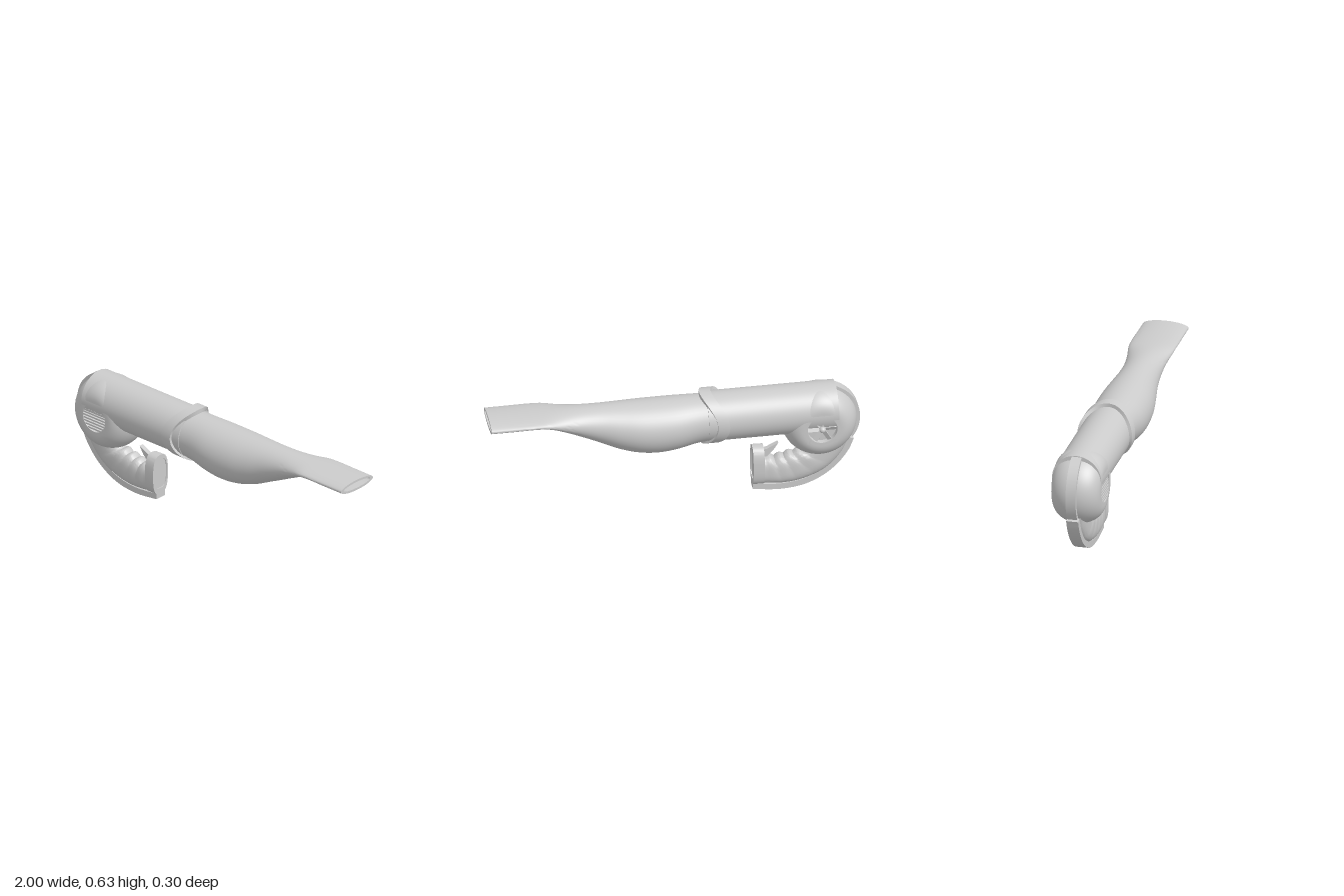
import * as THREE from 'three';
import { toCreasedNormals } from 'three/addons/utils/BufferGeometryUtils.js';

const V = (x, y, z = 0) => new THREE.Vector3(x, y, z);
const spline = (pts, n) => new THREE.CatmullRomCurve3(pts.map(p => V(...p))).getPoints(n);

// Closed section between a bottom and a top point, half width w, p < 1 gives a boxier outline
function section(bottom, top, w, p = 1, n = 48) {
  const c = bottom.clone().add(top).multiplyScalar(0.5);
  const up = top.clone().sub(c);
  const pow = t => Math.sign(t) * Math.abs(t) ** p;
  return Array.from({ length: n }, (_, j) => {
    const a = (j / n) * Math.PI * 2;
    const q = c.clone().addScaledVector(up, pow(Math.sin(a)));
    q.z = -w * pow(Math.cos(a));
    return q;
  });
}

// Skin a row of sections, optionally closing both ends
function loft(rings, capStart, capEnd, crease = 0.6) {
  const n = rings[0].length, pos = rings.flat().flatMap(p => p.toArray()), idx = [];
  for (let i = 0; i < rings.length - 1; i++)
    for (let j = 0; j < n; j++) {
      const k = (j + 1) % n, a = i * n + j, b = i * n + k;
      idx.push(a, b, b + n, a, b + n, a + n);
    }
  const cap = (i, flip) => {
    const c = rings[i].reduce((s, p) => s.add(p), V(0, 0)).divideScalar(n);
    const m = pos.length / 3;
    pos.push(...c.toArray());
    for (let j = 0; j < n; j++) {
      const a = i * n + j, b = i * n + (j + 1) % n;
      idx.push(m, ...(flip ? [b, a] : [a, b]));
    }
  };
  if (capStart) cap(0, true);
  if (capEnd) cap(rings.length - 1, false);
  const g = new THREE.BufferGeometry();
  g.setAttribute('position', new THREE.Float32BufferAttribute(pos, 3));
  g.setIndex(idx);
  return toCreasedNormals(g, crease);
}

// Flat outline extruded symmetrically about z = 0
function plate(points, width) {
  const shape = new THREE.Shape(points.map(p => new THREE.Vector2(p.x, p.y)));
  const g = new THREE.ExtrudeGeometry(shape, { depth: width, bevelEnabled: false });
  g.translate(0, 0, -width / 2);
  return toCreasedNormals(g, 0.6);
}

export function createModel() {
  const root = new THREE.Group();
  const mat = new THREE.MeshStandardMaterial({ color: 0xcccccc });
  const add = (name, geo, parent = root) => {
    const m = new THREE.Mesh(geo, mat);
    m.name = name;
    parent.add(m);
    return m;
  };

  // Straight blower tube
  const tube = new THREE.CylinderGeometry(0.135, 0.135, 0.7, 64);
  tube.rotateZ(Math.PI / 2).translate(-0.52, 0.48, 0);
  add('mainTube', tube);

  // Nozzle: bulges, then flattens into a wide open mouth
  const prof = spline([[-0.22, 0.35, 0.13], [-0.12, 0.342, 0.133], [0, 0.316, 0.147], [0.1, 0.307, 0.15],
    [0.2, 0.318, 0.145], [0.3, 0.348, 0.13], [0.4, 0.395, 0.113], [0.5, 0.443, 0.105], [0.6, 0.493, 0.11],
    [0.69, 0.538, 0.124], [0.75, 0.547, 0.126], [0.87, 0.546, 0.126], [1, 0.545, 0.125]], 60);
  const nozzle = prof.map(p => section(V(p.x, p.y), V(p.x, 0.605), p.z));
  nozzle.push(section(V(1, 0.558), V(1, 0.593), 0.102), section(V(0.55, 0.555), V(0.55, 0.594), 0.065));
  add('nozzle', loft(nozzle, false, true));

  // Collar: its ring sweeps back along both sides
  const collarRing = (x, r) => section(V(x, 0.485 - r), V(x, 0.485 + r), r, 1, 64).map(p => {
    p.x += 0.08 * ((p.y - 0.485) / r) ** 2;
    return p;
  });
  add('collar', loft([collarRing(-0.28, 0.125), collarRing(-0.28, 0.15),
    collarRing(-0.217, 0.15), collarRing(-0.217, 0.125)]));

  // Fan housing: rounded drum with a recess in each face
  const housing = new THREE.Group();
  housing.name = 'fanHousing';
  housing.position.set(-0.78, 0.41, 0);
  root.add(housing);
  const half = [[0, 0.105], [0.08, 0.105], [0.08, 0.134]];
  for (let i = 0; i <= 14; i++) {
    const a = (i / 14) * Math.PI / 2;
    half.push([0.1 + 0.103 * Math.sin(a), 0.134 * Math.cos(a)]);
  }
  const outline = [...half.map(([r, z]) => [r, -z]), ...half.slice(0, -1).reverse()];
  const drum = new THREE.LatheGeometry(outline.map(p => new THREE.Vector2(...p)), 72);
  add('drum', toCreasedNormals(drum.rotateX(Math.PI / 2), 0.6), housing);

  // Vent slats on the front
  for (let i = -4; i <= 4; i++) {
    const y = i * 0.0165;
    const w = 2 * Math.sqrt(0.08 ** 2 - y * y);
    add('ventSlat', new THREE.BoxGeometry(w, 0.009, 0.02), housing).position.set(0, y, 0.122);
  }
  for (const x of [-0.03, 0.03])
    add('ventBar', new THREE.BoxGeometry(0.006, 0.14, 0.01), housing).position.set(x, 0, 0.112);

  // Fan on the back
  const fan = new THREE.Group();
  fan.name = 'fan';
  fan.position.z = -0.122;
  housing.add(fan);
  for (let i = 0; i < 6; i++) {
    const arm = new THREE.Group();
    arm.rotation.z = (i / 6) * Math.PI * 2;
    fan.add(arm);
    const blade = add('fanBlade', new THREE.BoxGeometry(0.068, 0.026, 0.004), arm);
    blade.position.x = 0.044;
    blade.rotation.x = 0.5;
  }
  add('fanHub', new THREE.SphereGeometry(0.018, 24, 16), fan).position.z = -0.01;

  // Rib over the rear of the housing
  const arc = r => Array.from({ length: 33 }, (_, i) => {
    const a = (113 + (i / 32) * 102) * Math.PI / 180;
    return V(-0.782 + r * Math.cos(a), 0.41 + r * Math.sin(a));
  });
  add('rearRib', plate([...arc(0.218), ...arc(0.17).reverse()], 0.055));

  // Curved handle with finger grooves on its inner edge
  const N = 72;
  const outer = spline([[-0.945, 0.28], [-0.91, 0.205], [-0.85, 0.13], [-0.78, 0.08], [-0.68, 0.043],
    [-0.58, 0.032], [-0.46, 0.042]], N);
  const inner = spline([[-0.78, 0.32], [-0.73, 0.25], [-0.69, 0.215], [-0.65, 0.205], [-0.6, 0.195],
    [-0.54, 0.183], [-0.46, 0.205]], N);
  const grip = outer.map((o, i) => {
    const q = inner[i];
    const bump = q.x > -0.69 && q.x < -0.49 ? Math.abs(Math.sin((q.x + 0.69) / 0.05 * Math.PI)) : 0;
    q.y += 0.014 * bump;
    return section(o, q, 0.055 + 0.002 * bump, 0.75);
  });
  add('handle', loft(grip, true, true, 0.9));

  // End cap of the handle with a shallow inset panel
  const end = (x, b, t, w) => section(V(x, b), V(x, t), w, 0.72);
  add('handleEndCap', loft([end(-0.482, 0.036, 0.264, 0.058), end(-0.422, 0.036, 0.266, 0.058),
    end(-0.422, 0.07, 0.242, 0.048), end(-0.427, 0.07, 0.242, 0.048)], true, true));

  // Rib along the outside of the handle
  const ribOut = spline([[-0.965, 0.275], [-0.935, 0.205], [-0.875, 0.125], [-0.8, 0.063], [-0.7, 0.017],
    [-0.57, 0], [-0.422, 0.014]], 40);
  const ribIn = spline([[-0.935, 0.285], [-0.905, 0.225], [-0.855, 0.15], [-0.78, 0.09], [-0.69, 0.05],
    [-0.57, 0.034], [-0.422, 0.046]], 40);
  add('handleRib', plate([...ribOut, ...ribIn.reverse()], 0.066));

  // Trigger
  add('trigger', plate([V(-0.562, 0.277), V(-0.535, 0.235), V(-0.5, 0.2), V(-0.47, 0.2),
    V(-0.47, 0.24), V(-0.5, 0.247)], 0.026));

  return root;
}
